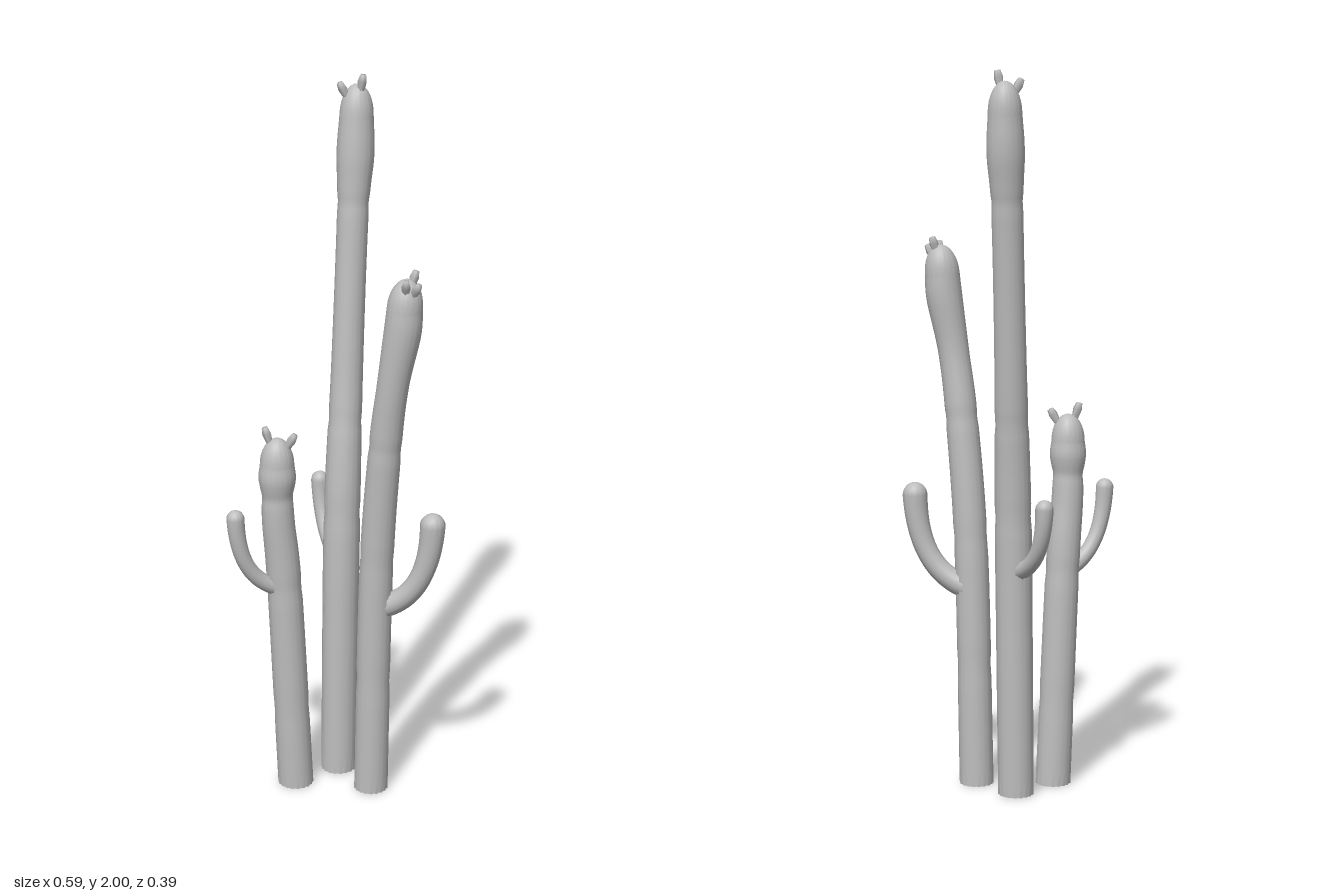
import * as THREE from 'three';

const cactusGrey = new THREE.MeshStandardMaterial({ color: 0xbdbdbd });
cactusGrey.name = 'cactusGrey';

const vec = p => new THREE.Vector3(p[0], p[1], p[2]);
const up = new THREE.Vector3(0, 1, 0);

// Fluted tube along a curve, closed by a dome; radiusAt(s, y) is the radius of each ring
function flutedTube(name, path, radiusAt, { ribs, rings, dome, depth }) {
  const end = path.getPoint(1), endDir = path.getTangent(1);
  const u = end.clone().sub(path.getPoint(0)).cross(up).normalize();
  const around = ribs * 2;
  const verts = [], index = [];
  let rows = 0;

  const addRing = (c, t, r) => {
    const v = new THREE.Vector3().crossVectors(t, u).normalize();
    for (let j = 0; j < around; j++) {
      const a = (j / around) * Math.PI * 2;
      const rr = r * (j % 2 ? 1 - depth : 1);
      const p = c.clone().addScaledVector(u, Math.cos(a) * rr).addScaledVector(v, Math.sin(a) * rr);
      verts.push(p.x, p.y, p.z);
    }
    rows++;
  };

  // Shaft, its foot cut level
  for (let i = 0; i <= rings; i++) {
    const s = i / rings, c = path.getPoint(s);
    addRing(c, i === 0 ? up : path.getTangent(s), radiusAt(s, c.y));
  }
  // Dome
  const rEnd = radiusAt(1, end.y);
  for (let k = 1; k < 8; k++) {
    const a = (k / 8) * Math.PI / 2;
    addRing(end.clone().addScaledVector(endDir, Math.sin(a) * dome), endDir, rEnd * Math.cos(a));
  }
  const tip = end.clone().addScaledVector(endDir, dome);
  verts.push(tip.x, tip.y, tip.z);
  const tipId = rows * around;

  // Flat underside with its own corners, so the rim stays sharp
  const foot = path.getPoint(0);
  verts.push(foot.x, foot.y, foot.z, ...verts.slice(0, around * 3));

  for (let j = 0; j < around; j++) {
    const n = (j + 1) % around;
    for (let i = 0; i < rows - 1; i++) {
      const a = i * around + j, b = i * around + n, c = a + around, d = b + around;
      index.push(a, b, d, a, d, c);
    }
    index.push(tipId - around + j, tipId - around + n, tipId);
    index.push(tipId + 1, tipId + 2 + n, tipId + 2 + j);
  }

  const g = new THREE.BufferGeometry();
  g.setAttribute('position', new THREE.Float32BufferAttribute(verts, 3));
  g.setIndex(index);
  g.computeVertexNormals();
  const mesh = new THREE.Mesh(g, cactusGrey);
  mesh.name = name;
  return mesh;
}

// Main stem through [x, y, z, radius] points, with a slight waist at each seam height
function stem(pts, dome, seams) {
  const path = new THREE.CatmullRomCurve3(pts.map(vec), false, 'catmullrom', 0.5);
  const radii = new THREE.CatmullRomCurve3(
    pts.map((p, i) => new THREE.Vector3(i, p[3], 0)), false, 'catmullrom', 0.5);
  const radiusAt = (s, y) => seams.reduce(
    (r, h) => r * (1 - 0.05 * Math.exp(-(((y - h) / 0.018) ** 2))), radii.getPoint(s).y);
  return flutedTube('stem', path, radiusAt, { ribs: 18, rings: 80, dome, depth: 0.08 });
}

// Arm that leaves the stem sideways, bends upright and swells at its tip
function arm(from, to, radius) {
  const a = vec(from), b = vec(to);
  const bend = a.clone().lerp(b, 0.95);
  bend.y = a.y + 0.15 * (b.y - a.y);
  const path = new THREE.QuadraticBezierCurve3(a, bend, b);
  const radiusAt = s => radius * (1 - 0.13 * Math.sin(Math.PI * s));
  return flutedTube('arm', path, radiusAt, { ribs: 13, rings: 24, dome: radius, depth: 0.1 });
}

// Five-sided flower bud whose tip points away from the crown
function bud(crown, to) {
  const h = 0.06, tip = vec(to);
  const dir = tip.clone().sub(crown).normalize();
  const profile = [[0.007, 0], [0.013, h * 0.7], [0.009, h], [0, h]].map(p => new THREE.Vector2(...p));
  const mesh = new THREE.Mesh(new THREE.LatheGeometry(profile, 5), cactusGrey);
  mesh.position.copy(tip).addScaledVector(dir, -h);
  mesh.quaternion.setFromUnitVectors(up, dir);
  mesh.name = 'bud';
  return mesh;
}

function cactus(name, stemPoints, dome, seams, armMesh, budTips) {
  const plant = new THREE.Group();
  plant.name = name;
  const crown = vec(stemPoints[stemPoints.length - 1]);
  plant.add(stem(stemPoints, dome, seams), armMesh, ...budTips.map(t => bud(crown, t)));
  return plant;
}

export function createModel() {
  const model = new THREE.Group();
  model.name = 'cactusCluster';

  model.add(cactus('tallCactus',
    [[-0.02, 0, -0.029, 0.05], [-0.012, 0.75, -0.042, 0.051], [-0.003, 1.2, -0.087, 0.044],
      [0.007, 1.62, -0.127, 0.043], [0.012, 1.78, -0.143, 0.051], [0.014, 1.885, -0.15, 0.046]],
    0.085, [0.47, 0.79, 1.05, 1.65],
    arm([-0.02, 0.635, -0.05], [-0.091, 0.83, -0.17], 0.025),
    [[-0.03, 1.975, -0.137], [0.034, 1.997, -0.136]]));

  model.add(cactus('middleCactus',
    [[0.087, 0, 0.083, 0.048], [0.1, 0.65, 0.097, 0.047], [0.125, 1.03, 0.121, 0.045],
      [0.147, 1.22, 0.138, 0.043], [0.172, 1.37, 0.142, 0.05], [0.178, 1.44, 0.142, 0.048]],
    0.08, [0.35, 0.7, 1.04],
    arm([0.1, 0.56, 0.088], [0.257, 0.822, 0.122], 0.035),
    [[0.206, 1.54, 0.13], [0.186, 1.525, 0.188], [0.219, 1.515, 0.182]]));

  model.add(cactus('shortCactus',
    [[-0.129, 0, 0.077, 0.05], [-0.154, 0.6, 0.092, 0.048], [-0.168, 0.8, 0.103, 0.045],
      [-0.17, 0.88, 0.106, 0.044], [-0.17, 0.935, 0.107, 0.051], [-0.17, 0.975, 0.107, 0.047]],
    0.075, [0.23, 0.61, 0.88],
    arm([-0.155, 0.605, 0.092], [-0.277, 0.832, 0.165], 0.025),
    [[-0.202, 1.08, 0.11], [-0.12, 1.063, 0.11]]));

  return model;
}
